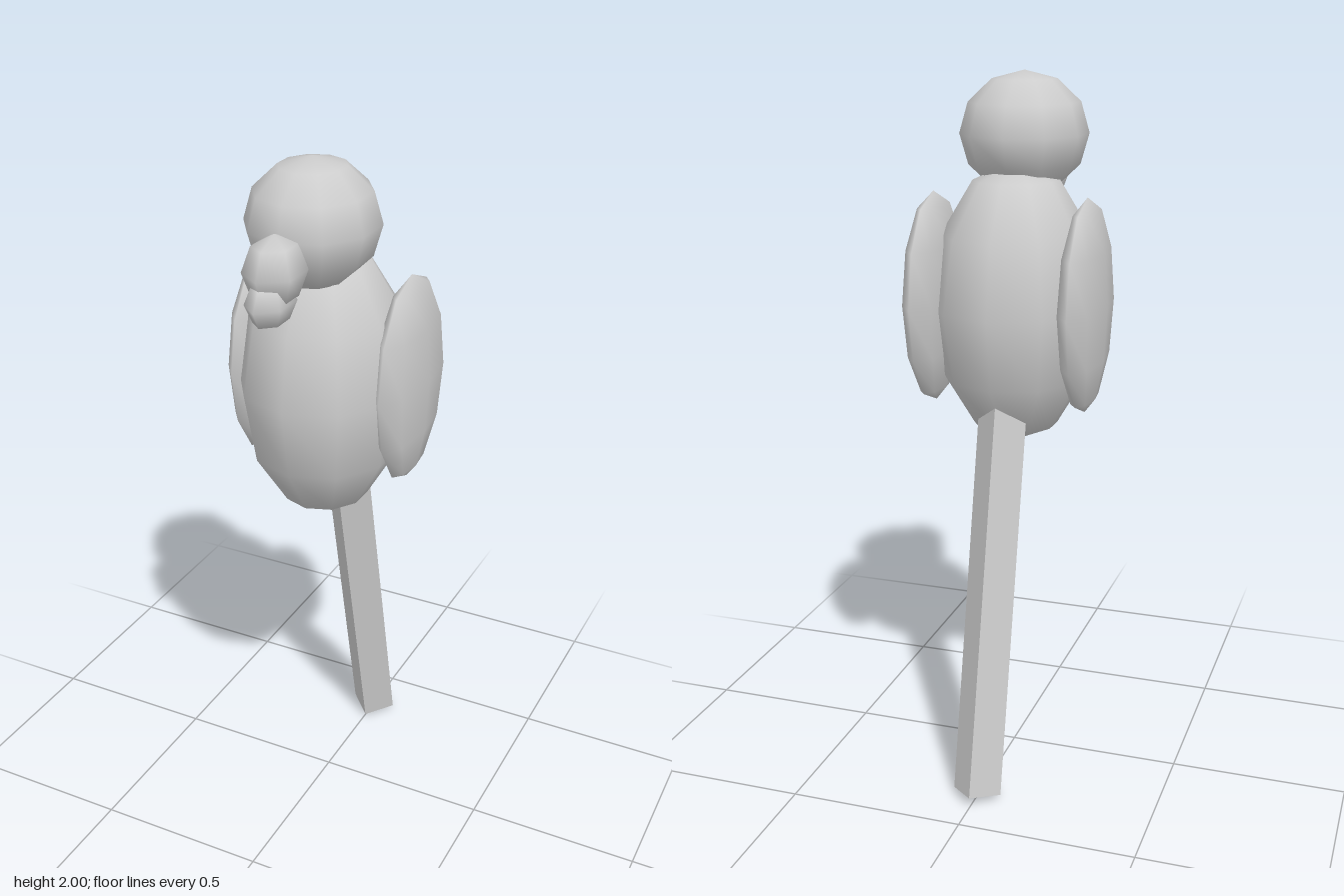
import * as THREE from 'three';

const grey = new THREE.MeshStandardMaterial({ color: 0xcccccc });
grey.name = 'plain grey';

// Low-poly ellipsoid with smooth normals and a vertex column facing front and back
function ellipsoid(name, radii, centre, sides, rings) {
  const geometry = new THREE.SphereGeometry(1, sides, rings);
  geometry.rotateY(Math.PI / 2);
  geometry.scale(...radii);
  const mesh = new THREE.Mesh(geometry, grey);
  mesh.name = name;
  mesh.position.set(...centre);
  return mesh;
}

export function createModel() {
  const bird = new THREE.Group();
  bird.name = 'perchingBird';

  // Body and head
  bird.add(ellipsoid('body', [0.238, 0.4, 0.26], [0, 1.365, 0.016], 10, 6));
  bird.add(ellipsoid('head', [0.179, 0.17, 0.192], [0, 1.83, 0.089], 10, 6));

  // Hooked beak in two lobes
  bird.add(ellipsoid('upperBeak', [0.079, 0.095, 0.097], [0, 1.765, 0.296], 6, 4));
  bird.add(ellipsoid('lowerBeak', [0.059, 0.067, 0.09], [0, 1.692, 0.32], 6, 4));

  // Folded wings
  for (const [name, side] of [['leftWing', 1], ['rightWing', -1]]) {
    bird.add(ellipsoid(name, [0.06, 0.298, 0.199], [side * 0.22, 1.382, -0.046], 8, 6));
  }

  // Long square tail, edge-on to the front and slanting backwards
  const length = 1.2;
  const tailGeometry = new THREE.CylinderGeometry(0.07, 0.07, length, 4, 1).toNonIndexed();
  tailGeometry.computeVertexNormals();
  tailGeometry.translate(0, length / 2, 0);
  const tail = new THREE.Mesh(tailGeometry, grey);
  tail.name = 'tail';
  tail.position.set(0, 0.0155, -0.345);
  tail.rotation.x = 0.219;
  bird.add(tail);

  return bird;
}
